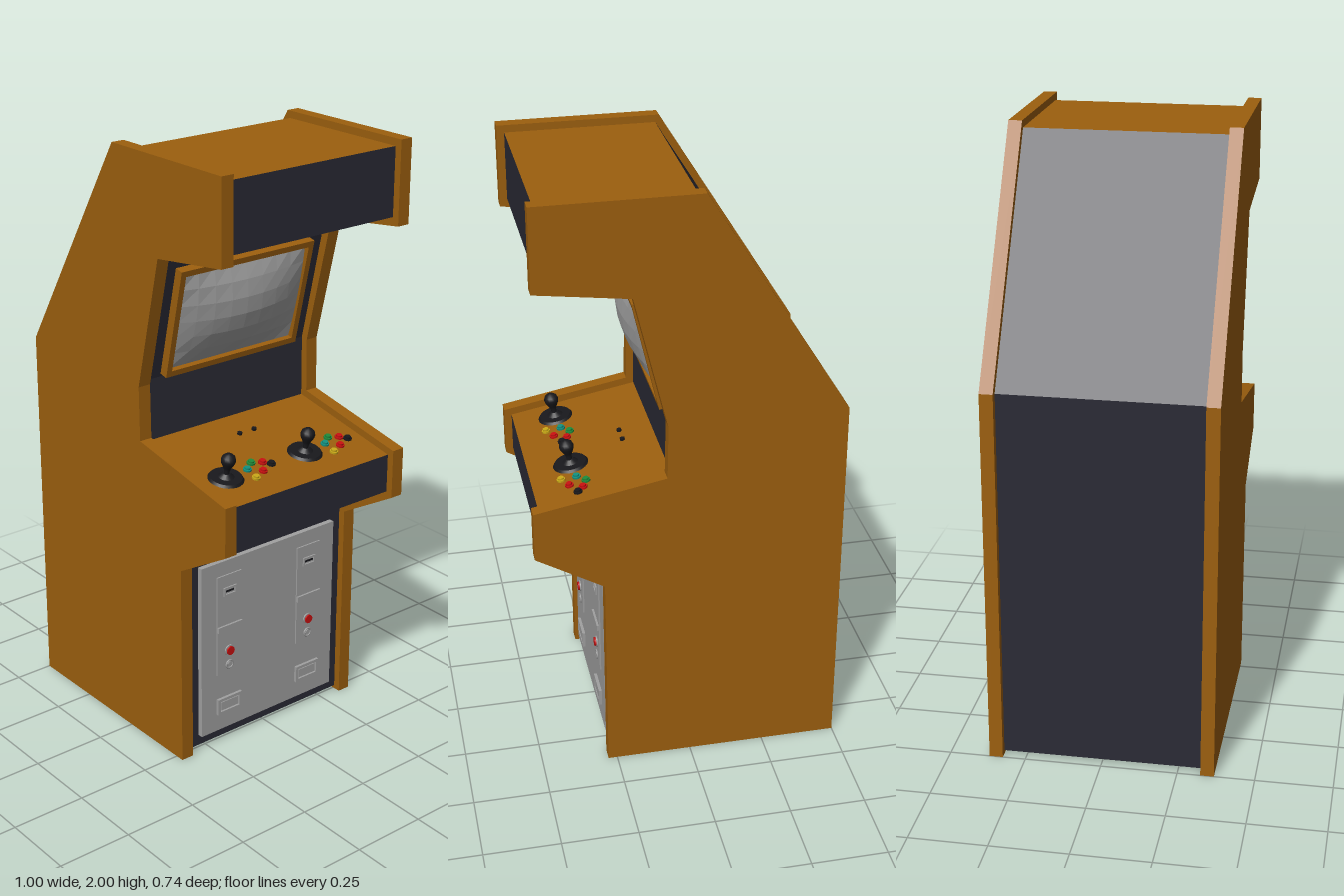
import * as THREE from 'three';

const mat = (color, extra = {}) => new THREE.MeshStandardMaterial({ color, ...extra });
const wood = mat(0x9c5f0e), dark = mat(0x2a2a35), grey = mat(0xa0a0a0), black = mat(0x18181c);
const red = mat(0xc81010), teal = mat(0x129080), yellow = mat(0xc8a818), green = mat(0x1f8a3a);
const glass = mat(0xa6a6a6, { flatShading: true });
const INNER = 0.65;

function add(parent, name, geometry, material, x = 0, y = 0, z = 0) {
  const mesh = new THREE.Mesh(geometry, material);
  mesh.name = name;
  mesh.position.set(x, y, z);
  parent.add(mesh);
  return mesh;
}

// Upright disc whose axis points out of a panel
function disc(r, h, segments = 16, rTop = r) {
  return new THREE.CylinderGeometry(rTop, r, h, segments).rotateX(Math.PI / 2);
}

// Rectangular frame lying in a panel
function frame(w, h, band, depth) {
  const rect = (a, b) => [[-a, -b], [a, -b], [a, b], [-a, b]].map(p => new THREE.Vector2(...p));
  const shape = new THREE.Shape(rect(w / 2, h / 2));
  shape.holes.push(new THREE.Path(rect(w / 2 - band, h / 2 - band).reverse()));
  return new THREE.ExtrudeGeometry(shape, { depth, bevelEnabled: false });
}

// Panel spanning the cabinet between two profile points; its group's
// local x runs across, y along the profile and z outward
function panel(parent, name, a, b, material) {
  const dx = b[0] - a[0], dy = b[1] - a[1];
  const g = new THREE.Group();
  g.name = name;
  g.position.set((a[0] + b[0]) / 2, (a[1] + b[1]) / 2, 0);
  g.rotation.set(Math.atan2(dx, dy), Math.PI / 2, 0, 'YXZ');
  add(g, name + 'Board', new THREE.PlaneGeometry(INNER, Math.hypot(dx, dy)), material);
  parent.add(g);
  return g;
}

function addScreen(g) {
  const y = -0.038, w = 0.535, h = 0.375;
  add(g, 'screenBezel', frame(w, h, 0.02, 0.03), wood, 0, y, 0);
  // Bulging tube glass
  const geo = new THREE.PlaneGeometry(w - 0.04, h - 0.04, 8, 6);
  const p = geo.attributes.position;
  for (let i = 0; i < p.count; i++) {
    const u = p.getX(i) / (w / 2 - 0.02), v = p.getY(i) / (h / 2 - 0.02);
    p.setZ(i, 0.012 + 0.04 * (1 - u * u) * (1 - v * v) + 0.008 * (1 - v * v));
  }
  geo.computeVertexNormals();
  add(g, 'screen', geo, glass, 0, y, 0);
}

function addControls(g) {
  // Joystick profile: shaft swelling into a rounded grip
  const stick = new THREE.LatheGeometry([[0.009, 0], [0.009, 0.03], [0.014, 0.042], [0.022, 0.058],
    [0.024, 0.068], [0.021, 0.079], [0.012, 0.087], [0, 0.09]].map(p => new THREE.Vector2(...p)), 16)
    .rotateX(Math.PI / 2);
  // Buttons: offset across, offset along the slope, radius, colour
  const buttons = [
    [0.09, 0.005, 0.014, teal], [0.085, -0.045, 0.014, yellow], [0.125, 0.03, 0.014, green],
    [0.13, -0.025, 0.014, red], [0.16, 0.015, 0.014, red], [0.18, -0.005, 0.014, black],
  ];
  for (const z of [0.235, -0.09]) {
    const set = new THREE.Group();
    set.name = 'playerControls';
    set.position.set(-z, -0.075, 0);
    add(set, 'joystickBase', disc(0.058, 0.008, 24, 0.052), black, 0, 0, 0.004);
    add(set, 'joystickBoot', disc(0.026, 0.012, 16, 0.012), black, 0, 0, 0.014);
    add(set, 'joystick', stick, black);
    for (const [x, y, r, m] of buttons) {
      add(set, 'buttonRim', disc(r, 0.006), m, x, y, 0.003);
      add(set, 'buttonCap', disc(r * 0.7, 0.012), m, x, y, 0.006);
    }
    g.add(set);
  }
  // Small start buttons toward the back
  for (const x of [-0.03, 0.03]) add(g, 'startButton', disc(0.008, 0.008), black, x, 0.11, 0.004);
}

function addCoinDoor(g) {
  const top = 0.361; // height of the panel's middle
  const Y = y => y - top;
  add(g, 'coinDoor', new THREE.BoxGeometry(0.565, 0.62, 0.018), grey, 0, Y(0.36), 0.009);
  for (const x of [-0.17, 0.17]) {
    const face = 0.018;
    add(g, 'coinPlate', new THREE.BoxGeometry(0.1, 0.36, 0.005), grey, x, Y(0.44), face + 0.0025);
    add(g, 'coinSlotFrame', frame(0.052, 0.03, 0.006, 0.006), grey, x, Y(0.562), face + 0.004);
    add(g, 'coinSlot', new THREE.BoxGeometry(0.034, 0.006, 0.004), black, x, Y(0.562), face + 0.005);
    add(g, 'coinBar', new THREE.BoxGeometry(0.1, 0.02, 0.012), grey, x, Y(0.43), face + 0.006);
    add(g, 'rejectRim', disc(0.02, 0.006), grey, x, Y(0.342), face + 0.006);
    add(g, 'rejectButton', disc(0.015, 0.014), red, x, Y(0.342), face + 0.007);
    add(g, 'lockRing', new THREE.TorusGeometry(0.014, 0.003, 8, 20), grey, x, Y(0.29), face + 0.006);
    add(g, 'lock', disc(0.009, 0.008), grey, x, Y(0.29), face + 0.005);
    add(g, 'returnFrame', frame(0.1, 0.058, 0.01, 0.01), grey, x, Y(0.141), face);
    add(g, 'returnFlap', new THREE.BoxGeometry(0.07, 0.03, 0.008), grey, x, Y(0.141), face + 0.004);
  }
}

export function createModel() {
  const model = new THREE.Group();
  model.name = 'arcadeCabinet';

  // Side boards
  const outline = [[-0.5, 0], [0.28, 0], [0.28, 0.695], [0.5, 0.825], [0.5, 0.99], [0.077, 1.07],
    [0.074, 1.25], [0.18, 1.69], [0.48, 1.73], [0.48, 2], [-0.04, 2], [-0.5, 1.255]];
  const side = new THREE.ExtrudeGeometry(new THREE.Shape(outline.map(p => new THREE.Vector2(...p))),
    { depth: 0.044, bevelEnabled: false });
  add(model, 'leftSideBoard', side, wood, 0, 0, 0.325);
  add(model, 'rightSideBoard', side, wood, 0, 0, -0.369);

  // Panels between the sides, counter-clockwise around the inset profile
  const inset = [[-0.476, 0.012], [0.256, 0.012], [0.256, 0.71], [0.476, 0.84], [0.476, 0.97],
    [0.052, 1.05], [0.05, 1.255], [0.156, 1.715], [0.456, 1.755], [0.456, 1.976], [-0.028, 1.976],
    [-0.476, 1.25]];
  const panels = [['floor', dark], ['lowerFront', dark], ['controlUnderside', wood],
    ['controlFront', dark], ['controlDeck', wood], ['lowerScreenWall', dark], ['screenWall', dark],
    ['marqueeUnderside', wood], ['marquee', dark], ['roof', wood], ['slopedBack', dark], ['back', dark]];
  const made = {};
  panels.forEach(([name, m], i) => {
    made[name] = panel(model, name, inset[i], inset[(i + 1) % inset.length], m);
  });

  addScreen(made.screenWall);
  addControls(made.controlDeck);
  addCoinDoor(made.lowerFront);
  return model;
}
